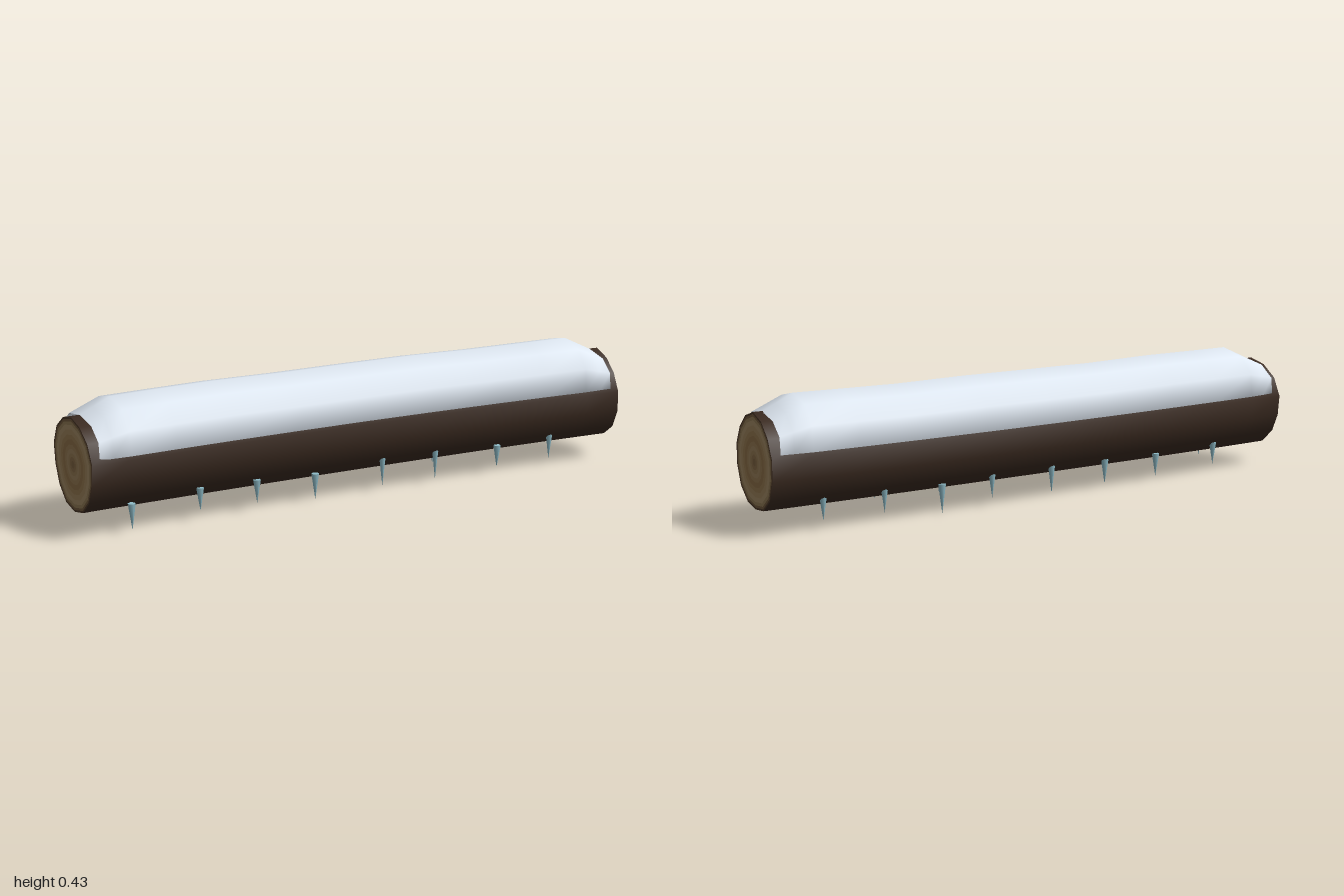
import * as THREE from 'three';

const SIDES = 14, AXIS_Y = 0.222;
const bend = x => -0.018 + 0.03 * x * x; // z of the log's gently curved axis

// Places a cross-section point (offset w across, height y) square to the bent axis
const place = (x, w, y) => [x - 0.06 * x * w, y, bend(x) + w];

// Skin through closed cross-sections, each a list of [x, y, z]
function loft(sections) {
  const n = sections[0].length, index = [];
  for (let i = 0; i < sections.length - 1; i++) {
    for (let j = 0; j < n; j++) {
      const a = i * n + j, b = i * n + (j + 1) % n;
      index.push(a, b, a + n, b, b + n, a + n);
    }
  }
  const geo = new THREE.BufferGeometry();
  geo.setAttribute('position', new THREE.Float32BufferAttribute(sections.flat(2), 3));
  geo.setIndex(index);
  geo.computeVertexNormals();
  return geo;
}

function addMesh(parent, name, geo, color, side = THREE.FrontSide) {
  const mesh = new THREE.Mesh(geo, new THREE.MeshStandardMaterial({ color, side }));
  mesh.name = name;
  parent.add(mesh);
  return mesh;
}

// Slightly uneven ring of the log
function logRing(x, scale = 1) {
  return Array.from({ length: SIDES }, (_, j) => {
    const a = j / SIDES * Math.PI * 2;
    const r = scale * (0.157 + 0.003 * Math.sin(3 * a + 2 * x) + 0.002 * Math.cos(5 * a));
    return place(x, r * Math.sin(a), AXIS_Y + r * Math.cos(a));
  });
}

// Snow section: rounded arch over the log, closed by an underside hidden in it
function snowSection(x) {
  const t = THREE.MathUtils.clamp((0.965 - Math.abs(x)) / 0.105, 0, 1);
  const rise = THREE.MathUtils.lerp(0.112, 0.161 + 0.002 * Math.sin(9 * x), t);
  const wide = THREE.MathUtils.lerp(0.95, 1, t);
  const half = [[0.157, 0], [0.15, 0.5], [0.094, 0.865]];
  const arch = [...half.map(([w, h]) => [-w, h]), [0, 1], ...half.slice().reverse()];
  const points = arch.map(([w, h]) => place(x, w * wide, 0.27 + h * rise));
  points.push(place(x, 0.12, 0.27), place(x, -0.12, 0.27));
  return points;
}

export function createModel() {
  const model = new THREE.Group();
  model.name = 'snowyLog';

  // Bark
  const stations = Array.from({ length: 17 }, (_, i) => -0.995 + 1.99 * i / 16);
  addMesh(model, 'bark', loft(stations.map(x => logRing(x))), 0x3a2a20);

  // Sawn ends: concentric bands of growth rings
  const bands = [
    [1, 0x4a3626], [0.96, 0x6e573b], [0.91, 0x8f7852], [0.84, 0xa08862], [0.74, 0x9a8059],
    [0.63, 0x92764e], [0.53, 0x8a6d45], [0.42, 0x92774f], [0.33, 0x987e58],
    [0.24, 0x917650], [0.16, 0x866a46], [0.08, 0x7b603e], [0, 0]
  ];
  for (const end of [-1, 1]) {
    const cap = new THREE.Group();
    cap.name = end > 0 ? 'leftSawnEnd' : 'rightSawnEnd';
    for (let i = 0; i < bands.length - 1; i++) {
      const rings = [logRing(end * 0.995, bands[i][0]), logRing(end * 0.995, bands[i + 1][0])];
      addMesh(cap, 'growthRing', loft(end > 0 ? rings : rings.reverse()), bands[i][1]);
    }
    model.add(cap);
  }

  // Snow blanket with sloped ends
  const snowX = [-0.965, -0.92, -0.86, -0.7, -0.5, -0.25, 0, 0.25, 0.5, 0.7, 0.86, 0.92, 0.965];
  addMesh(model, 'snow', loft(snowX.map(snowSection)), 0xdfe8f2, THREE.DoubleSide);

  // Icicles along both lower flanks: [x, top, tip]
  const rows = {
    frontIcicle: [0.112, [
      [-0.84, 0.10, 0.01], [-0.6, 0.115, 0.035], [-0.395, 0.11, 0.03], [-0.18, 0.10, 0.01],
      [0.075, 0.14, 0.02], [0.28, 0.14, 0.015], [0.525, 0.105, 0.025], [0.735, 0.13, 0.03]]],
    backIcicle: [-0.095, [
      [-0.74, 0.11, 0.03], [-0.48, 0.10, 0.02], [-0.26, 0.105, 0.02], [-0.04, 0.12, 0.015],
      [0.195, 0.12, 0.03], [0.385, 0.10, 0], [0.595, 0.12, 0.03], [0.81, 0.115, 0.03]]]
  };
  for (const [name, [offset, list]] of Object.entries(rows)) {
    for (const [x, top, tip] of list) {
      const geo = new THREE.ConeGeometry(0.013, top - tip, 6).rotateX(Math.PI);
      addMesh(model, name, geo, 0x8fbcc8).position.set(x, (top + tip) / 2, bend(x) + offset);
    }
  }
  return model;
}
